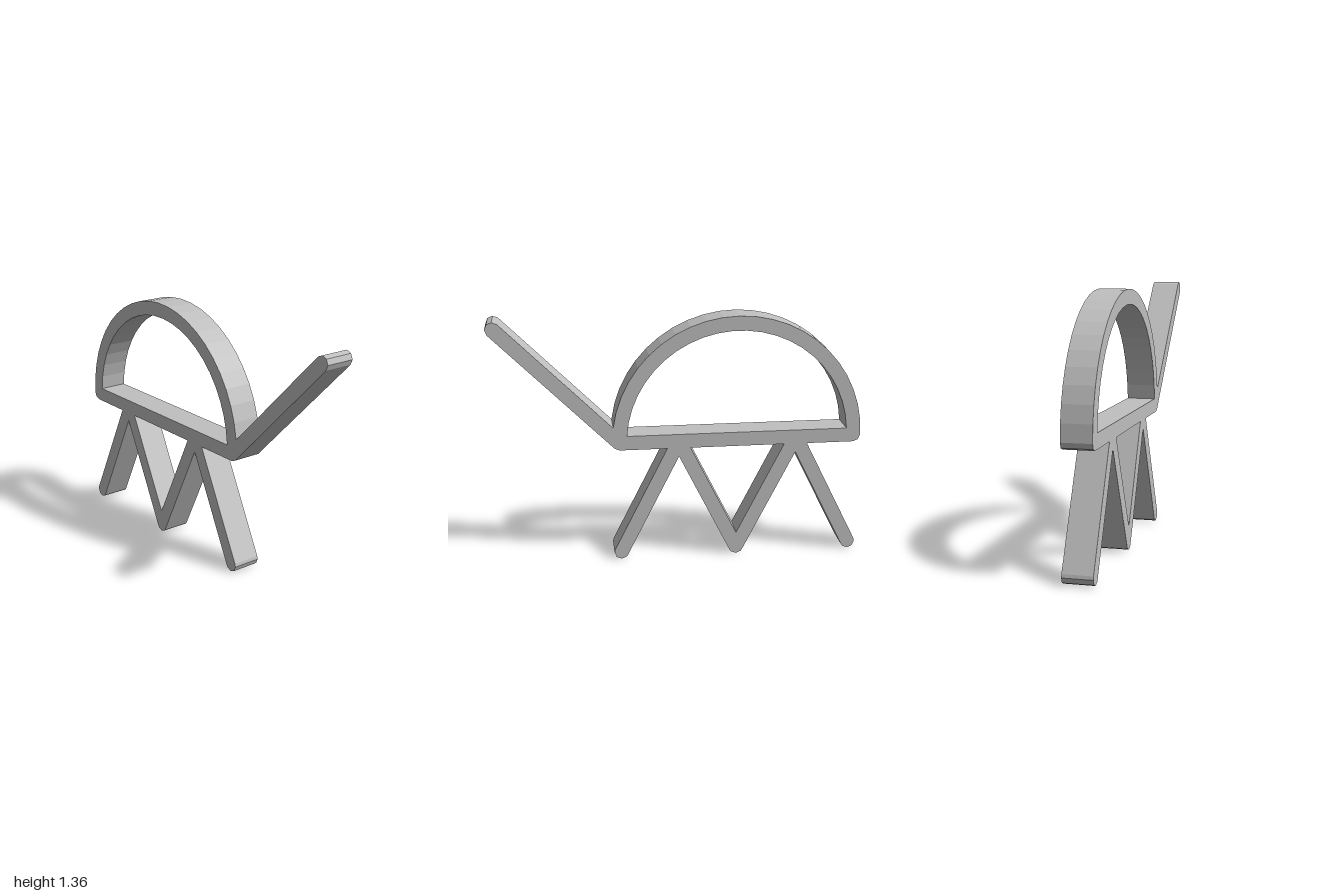
import * as THREE from 'three';

const U = 0.3203;      // layout unit
const R = 0.039;       // half the bar thickness
const DEPTH = 0.156;
const DECK = R + 2 * U; // height of the deck's centre line
const RAD = Math.PI / 180;

const polar = (cx, cy, r, deg) =>
  new THREE.Vector2(cx + r * Math.cos(deg * RAD), cy + r * Math.sin(deg * RAD));

// Rounded bar end: start and end angles plus every 45 degree step between them
function cap(cx, cy, from, to) {
  const points = [polar(cx, cy, R, from)];
  for (let a = Math.floor(from / 45) * 45 + 45; a < to - 0.01; a += 45) points.push(polar(cx, cy, R, a));
  points.push(polar(cx, cy, R, to));
  return points;
}

function arc(cx, cy, r, from, to, steps) {
  const points = [];
  for (let i = 0; i <= steps; i++) points.push(polar(cx, cy, r, from + ((to - from) * i) / steps));
  return points;
}

export function createModel() {
  const model = new THREE.Group();
  const grey = new THREE.MeshStandardMaterial({ color: 0xbfbfbf, flatShading: true });
  grey.name = 'grey';

  const addPart = (name, shape) => {
    const geometry = new THREE.ExtrudeGeometry(shape, { depth: DEPTH, bevelEnabled: false });
    geometry.translate(0, 0, -DEPTH / 2);
    const mesh = new THREE.Mesh(geometry, grey);
    mesh.name = name;
    model.add(mesh);
  };

  // Half-round frame: arch and deck bar around one opening
  const outer = 2 * U + R;
  const inner = 2 * U - R;
  const frame = new THREE.Shape([
    ...arc(-U, DECK, outer, 0, 180, 24),
    ...cap(-3 * U, DECK, 180, 270).slice(1),
    ...cap(U, DECK, 270, 360).slice(0, -1),
  ]);
  const start = Math.asin(R / inner) / RAD;
  frame.holes.push(new THREE.Path(arc(-U, DECK, inner, start, 180 - start, 23).reverse()));
  addPart('archFrame', frame);

  // Slanted bar rising from the deck's right-hand corner
  addPart('slantedBar', new THREE.Shape([
    polar(U, DECK, R, 315),
    ...cap(3 * U, DECK + 2 * U, -45, 135),
    polar(-U, DECK, outer, 7.5),
    polar(-U, DECK, outer, 0),
  ]));

  // Zigzag legs, meeting the underside of the deck
  const slope = Math.atan(0.5) / RAD;
  const miter = R * Math.sqrt(5);        // bar corner height above or below a joint
  const half = R / 2 + miter / 2;        // half width of a leg pair at the deck
  const under = DECK - R;
  const p = (x, y) => new THREE.Vector2(x, y);
  addPart('legs', new THREE.Shape([
    p(-2 * U - half, under),
    ...cap(-3 * U, R, 180 - slope, 360 - slope),
    p(-2 * U, DECK - miter),
    ...cap(-U, R, 180 + slope, 360 - slope),
    p(0, DECK - miter),
    ...cap(U, R, 180 + slope, 360 + slope),
    p(half, under),
    p(-half, under),
    p(-U, R + miter),
    p(-2 * U + half, under),
  ]));

  return model;
}
